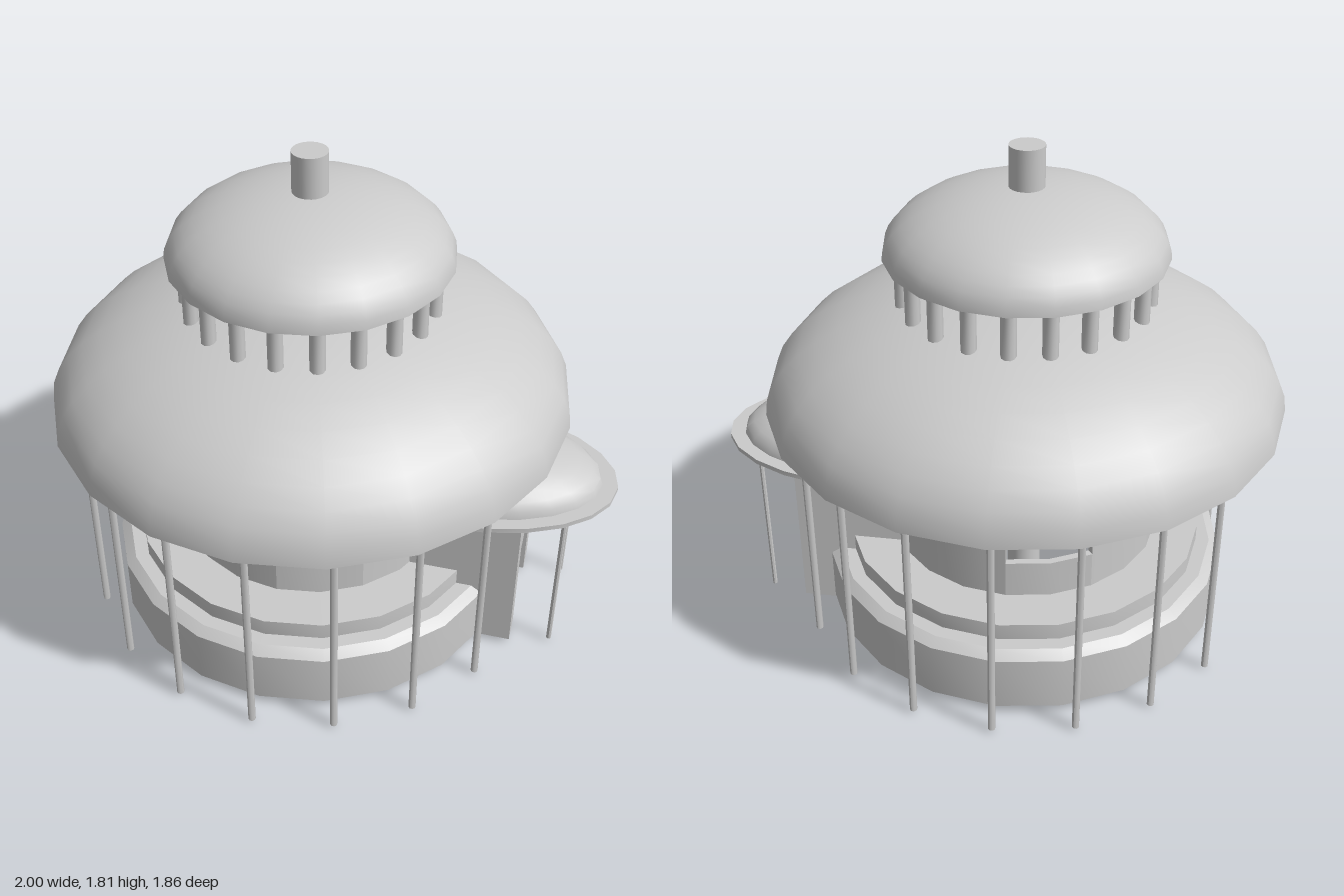
import * as THREE from 'three';
import { toCreasedNormals } from 'three/addons/utils/BufferGeometryUtils.js';

const rad = THREE.MathUtils.degToRad;
const SIDES = 20, STEP = 18, PHASE = -2; // shared facet layout, degrees
const material = new THREE.MeshStandardMaterial({ color: 0xcccccc, side: THREE.DoubleSide });

function add(parent, geometry, name) {
  const mesh = new THREE.Mesh(geometry, material);
  mesh.name = name;
  parent.add(mesh);
  return mesh;
}

const creased = (geometry) => toCreasedNormals(geometry, 0.6);

// Upright rod standing at an angle (0 = front, 90 = +x) and distance from the axis
function rod(parent, name, radius, y0, y1, angle = 0, dist = 0, sides = 8) {
  const mesh = add(parent, creased(new THREE.CylinderGeometry(radius, radius, y1 - y0, sides)), name);
  if (sides < 12) mesh.geometry = toCreasedNormals(new THREE.CylinderGeometry(radius, radius, y1 - y0, sides), 0.9);
  mesh.position.set(Math.sin(rad(angle)) * dist, (y0 + y1) / 2, Math.cos(rad(angle)) * dist);
}

// Solid half-ellipsoid roof with a flat underside
function domeRoof(parent, name, radius, y0, height) {
  const profile = [[0, 0], [radius, 0]];
  for (let i = 1; i <= 12; i++) {
    const t = (i / 12) * Math.PI / 2;
    profile.push([Math.max(0, radius * Math.cos(t)), height * Math.sin(t)]);
  }
  const points = profile.map(([r, y]) => new THREE.Vector2(r, y0 + y));
  add(parent, creased(new THREE.LatheGeometry(points, SIDES, rad(PHASE), Math.PI * 2)), name);
}

// Faceted piece of the round wall between two angles
function wallPiece(parent, name, from, to, y0, y1) {
  const count = Math.round((to - from) / STEP);
  const arc = (r, i) => {
    const a = rad(from + i * STEP);
    return new THREE.Vector2(r * Math.sin(a), -r * Math.cos(a));
  };
  const points = [];
  for (let i = 0; i <= count; i++) points.push(arc(0.5, i));
  for (let i = count; i >= 0; i--) points.push(arc(0.475, i));
  const geometry = new THREE.ExtrudeGeometry(new THREE.Shape(points), { depth: y1 - y0, bevelEnabled: false });
  geometry.rotateX(-Math.PI / 2).translate(0, y0, 0);
  add(parent, creased(geometry), name);
}

// Stretch a unit-radius shape to the porch oval and trim it where it meets the wall
function porchOval(geometry, width, length) {
  const p = geometry.attributes.position;
  for (let i = 0; i < p.count; i++) {
    const x = p.getX(i) * width;
    const z = p.getZ(i) * length + 0.555;
    const wall = Math.sqrt(Math.max(0, 0.485 ** 2 - x * x));
    p.setXYZ(i, x, p.getY(i), Math.max(z, 0.4, wall));
  }
  return creased(geometry);
}

export function createModel() {
  const model = new THREE.Group();
  model.name = 'roundPavilion';
  const building = new THREE.Group();
  building.name = 'building';
  building.position.x = -0.07;
  model.add(building);

  // Roofs and the mast running through them
  domeRoof(building, 'mainRoof', 0.93, 0.865, 0.447);
  domeRoof(building, 'lanternRoof', 0.495, 1.43, 0.237);
  rod(building, 'centralMast', 0.062, 0, 1.81, 0, 0, 24);

  // Ring of short posts carrying the upper roof
  for (let i = 0; i < SIDES; i++) rod(building, 'lanternPost', 0.027, 1.25, 1.44, PHASE + i * STEP, 0.43, 10);

  // Round wall: solid runs between the openings, then panels below and above them
  const windows = [-20, 160, 232];
  for (const [from, to] of [[16, 52], [88, 160], [196, 232], [268, 340]]) {
    wallPiece(building, 'wall', from, to, 0.03, 0.87);
  }
  for (const from of windows) {
    wallPiece(building, 'wallBelowWindow', from, from + 36, 0.03, 0.465);
    wallPiece(building, 'wallAboveWindow', from, from + 36, 0.8, 0.87);
  }
  wallPiece(building, 'wallAboveDoor', 52, 88, 0.39, 0.87);

  // Stepped base ring, open at the doorway
  const baseProfile = [
    [0.49, 0.03], [0.745, 0.03], [0.745, 0.235], [0.71, 0.262],
    [0.66, 0.262], [0.66, 0.325], [0.49, 0.325], [0.49, 0.03],
  ].map(([r, y]) => new THREE.Vector2(r, y));
  add(building, toCreasedNormals(new THREE.LatheGeometry(baseProfile, 18, rad(88), rad(324)), 0.5), 'baseRing');

  // Thin veranda poles; those by the door stand further out, opposite ones are left out
  const skipped = [60, 80, 240, 260];
  for (let a = 0; a < 360; a += 20) {
    if (!skipped.includes(a)) rod(building, 'verandaPole', 0.013, 0.01, 0.87, a, 0.83);
  }

  // Entrance porch, built facing +z and turned to its place
  const porch = new THREE.Group();
  porch.name = 'porch';
  porch.rotation.y = rad(70);
  building.add(porch);

  const portal = new THREE.Shape([
    [-0.245, 0.02], [-0.142, 0.02], [-0.142, 0.39], [0.142, 0.39],
    [0.142, 0.02], [0.245, 0.02], [0.245, 0.62], [-0.245, 0.62],
  ].map(([x, y]) => new THREE.Vector2(x, y)));
  const passage = new THREE.ExtrudeGeometry(portal, { depth: 0.39, bevelEnabled: false });
  add(porch, passage.translate(0, 0, 0.43), 'porchPassage');

  const brim = new THREE.CylinderGeometry(1, 1, 0.018, 24).translate(0, 0.625, 0);
  add(porch, porchOval(brim, 0.346, 0.57), 'porchBrim');
  const cap = new THREE.SphereGeometry(1, 24, 8, 0, Math.PI * 2, 0, Math.PI / 2);
  cap.scale(1, 0.143, 1).translate(0, 0.632, 0);
  add(porch, porchOval(cap, 0.3, 0.515), 'porchRoof');
  for (const side of [-11, 11]) rod(porch, 'porchPole', 0.009, 0.01, 0.62, side, 0.98);

  return model;
}
